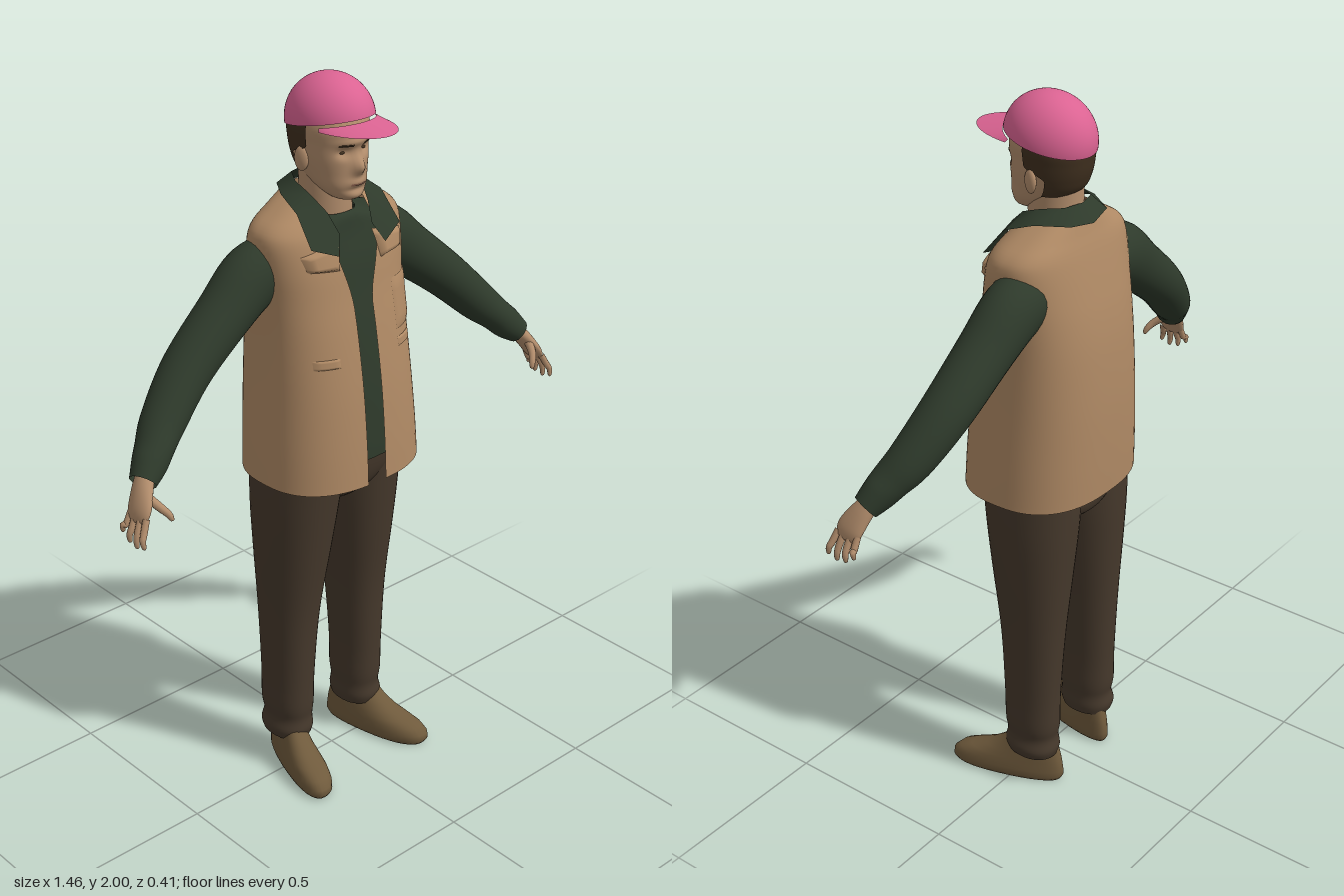
import * as THREE from 'three';

const mat = (name, color, side = THREE.FrontSide) => {
  const m = new THREE.MeshStandardMaterial({ color, side });
  m.name = name;
  return m;
};
const TAU = Math.PI * 2;
const gauss = (v, c, s) => Math.exp(-(((v - c) / s) ** 2));
const signedPow = (v, p) => Math.sign(v) * Math.abs(v) ** p;

// Smoothly resample a short list of number rows
function resample(rows, n) {
  const out = [], last = rows.length - 1;
  for (let k = 0; k <= n; k++) {
    const t = (k / n) * last, i = Math.min(Math.floor(t), last - 1), f = t - i;
    const [a, b, c, d] = [i - 1, i, i + 1, i + 2].map(j => rows[Math.min(Math.max(j, 0), last)]);
    out.push(b.map((_, q) => b[q] + 0.5 * f * (c[q] - a[q]
      + f * (2 * a[q] - 5 * b[q] + 4 * c[q] - d[q] + f * (3 * (b[q] - c[q]) + d[q] - a[q])))));
  }
  return out;
}

// Join rings of points into one surface
function skinRings(rings, closed = true) {
  const pos = [], idx = [], n = rings[0].length;
  rings.forEach(r => r.forEach(p => pos.push(...p)));
  for (let i = 0; i < rings.length - 1; i++) {
    for (let j = 0; j < (closed ? n : n - 1); j++) {
      const k = (j + 1) % n, a = i * n + j, b = i * n + k;
      idx.push(a, b, b + n, a, b + n, a + n);
    }
  }
  const g = new THREE.BufferGeometry();
  g.setAttribute('position', new THREE.Float32BufferAttribute(pos, 3));
  g.setIndex(idx);
  g.computeVertexNormals();
  return g;
}

// Level cross-sections: rows are [y, centre x, half width, front z, back z]
function stack(rows, { p = 1, seg = 36, arc = null, bend = v => v } = {}) {
  return skinRings(rows.map(([y, cx, w, zf, zb]) => {
    const [a, b] = arc ? arc(y, w) : [0, TAU], count = arc ? seg + 1 : seg;
    return Array.from({ length: count }, (_, j) => {
      const t = a + (b - a) * j / seg;
      return bend([cx + w * signedPow(Math.sin(t), p), y,
        (zf + zb) / 2 + (zf - zb) / 2 * signedPow(Math.cos(t), p)]);
    });
  }), !arc);
}

// Front depth of a stack at (x, y)
function frontZ(rows, x, y, p) {
  let i = rows.findIndex(r => r[0] >= y);
  i = Math.max(i, 1);
  const f = (y - rows[i - 1][0]) / (rows[i][0] - rows[i - 1][0]);
  const [, , w, zf, zb] = rows[i].map((v, q) => rows[i - 1][q] * (1 - f) + v * f);
  const s = Math.min(Math.abs(x) / w, 1) ** (1 / p);
  return (zf + zb) / 2 + (zf - zb) / 2 * (1 - s * s) ** (p / 2);
}

// Tube along a path: stations are [x, y, z, width radius, depth radius]
function limb(stations, { n = 20, seg = 20, cap = false } = {}) {
  const st = resample(stations, n);
  const at = i => new THREE.Vector3(...st[Math.min(Math.max(i, 0), n)].slice(0, 3));
  const rings = st.map((s, i) => {
    const d = at(i + 1).sub(at(i - 1)).normalize();
    const nz = new THREE.Vector3(0, 0, 1).addScaledVector(d, -d.z).normalize();
    const b = d.clone().cross(nz), round = cap ? Math.sqrt(Math.max(0, 1 - (i / n) ** 8)) : 1;
    return Array.from({ length: seg }, (_, j) => {
      const t = TAU * j / seg;
      return at(i).addScaledVector(nz, s[4] * round * Math.cos(t))
        .addScaledVector(b, s[3] * round * Math.sin(t)).toArray();
    });
  });
  return skinRings(rings);
}

// Small raised cloth patch between four corners (x, y), laid on a surface
function patch(c, depth, lift, n = 8) {
  const rings = [];
  for (let i = 0; i <= n; i++) {
    rings.push(Array.from({ length: n + 1 }, (_, j) => {
      const u = j / n, v = i / n;
      const [x, y] = [0, 1].map(q => (c[0][q] * (1 - u) + c[1][q] * u) * (1 - v) + (c[3][q] * (1 - u) + c[2][q] * u) * v);
      const edge = i === 0 || j === 0 || i === n || j === n;
      return [x, y, depth(x, y) + (edge ? 0.002 : lift)];
    }));
  }
  return skinRings(rings, false);
}

export function createModel() {
  const root = new THREE.Group();
  const D = THREE.DoubleSide;
  const pink = mat('cap pink', 0xdb6392, D), tan = mat('vest tan', 0xb08a65, D);
  const green = mat('shirt green', 0x2e3a2b, D), brown = mat('trouser brown', 0x46392c);
  const shoeMat = mat('shoe brown', 0x6f5a3c), skin = mat('skin', 0xb28d6c);
  const hairMat = mat('hair brown', 0x40301f, D), lip = mat('lip', 0x8f6450);
  const add = (name, geo, m, parent = root) => {
    const mesh = new THREE.Mesh(geo, m);
    mesh.name = name;
    parent.add(mesh);
    return mesh;
  };

  // Vest with an open front that widens into the neckline
  const P = 0.8;
  const vestKeys = [[.94, 0, .238, .188, -.2], [1.05, 0, .232, .182, -.203], [1.2, 0, .222, .168, -.203],
    [1.35, 0, .215, .145, -.195], [1.45, 0, .215, .125, -.182], [1.53, 0, .22, .11, -.165],
    [1.6, 0, .222, .09, -.148], [1.635, 0, .205, .072, -.138], [1.665, 0, .16, .05, -.128], [1.7, 0, .1, .02, -.118]];
  const vestRows = resample(vestKeys, 36);
  const vestArc = (y, w) => {
    const open = THREE.MathUtils.smoothstep(y, 1.42, 1.62) * 0.05;
    const angle = x => Math.asin(Math.min(x / w, 1) ** (1 / P));
    return [angle(.023 + open), TAU - angle(.038 + open * 0.75)];
  };
  add('vest', stack(vestRows, { p: P, seg: 64, arc: vestArc }), tan);
  const vestZ = (x, y) => frontZ(vestRows, x, y, P);

  // Shirt body under the vest
  const shirtKeys = vestKeys.slice(1, 7).map(([y, x, w, f, b]) => [y, x, w - .016, f - .02, b + .016]);
  shirtKeys.unshift([1.0, 0, .21, .164, -.18]);
  shirtKeys.push([1.64, 0, .095, .062, -.11], [1.652, 0, .066, .05, -.1]);
  add('shirt', stack(resample(shirtKeys, 28), { p: P }), green);

  // Shirt collar, from the nape round to both points
  const upper = [[0, 1.735, -.105], [.055, 1.735, -.09], [.085, 1.73, -.04], [.085, 1.71, .015], [.068, 1.67, .06], [.055, 1.62, .09]];
  const lower = [[0, 1.69, -.14], [.075, 1.7, -.125], [.125, 1.702, -.05], [.142, 1.675, .03], [.15, 1.6, .092], [.078, 1.572, .116]];
  const bothSides = pts => [...pts.slice(1).reverse().map(([x, y, z]) => [-x, y, z]), ...pts];
  add('shirtCollar', skinRings([bothSides(upper), bothSides(lower)], false), green);

  // Lapels and pockets of the vest
  for (const s of [1, -1]) {
    const side = s > 0 ? 'left' : 'right';
    const corners = list => list.map(([x, y]) => [x * s, y]);
    add(side + 'Lapel', patch(corners([[.07, 1.53], [.155, 1.538], [.168, 1.578], [.055, 1.605]]), vestZ, .015), tan);
    add(side + 'PocketWelt', patch(corners([[.1, 1.285], [.165, 1.285], [.165, 1.31], [.1, 1.31]]), vestZ, .006), tan);
  }
  add('chestPocket', patch([[.1, 1.33], [.185, 1.33], [.185, 1.465], [.1, 1.465]], vestZ, .007), tan);

  // Trousers
  add('hips', stack(resample([[.83, 0, .03, .03, -.09], [.87, 0, .12, .09, -.15],
    [.94, 0, .2, .125, -.165], [1.06, 0, .205, .145, -.17]], 12), { p: 0.85 }), brown);
  const legRows = resample([[.095, .13, .058, .028, -.118], [.12, .131, .063, .036, -.124], [.155, .128, .058, .032, -.118],
    [.2, .129, .063, .037, -.124], [.3, .128, .064, .04, -.125], [.5, .123, .075, .052, -.135],
    [.7, .115, .094, .08, -.15], [.85, .108, .107, .1, -.16], [1.02, .1, .112, .12, -.165]], 36);
  // Shoes: toes turned out and a little broader
  const shoeRows = [[0, 0, .001, .03, .02], [0, 0, .045, .182, -.123], [.012, 0, .05, .19, -.13], [.03, 0, .05, .188, -.13],
    [.048, 0, .048, .17, -.128], [.062, 0, .046, .135, -.126], [.08, 0, .043, .088, -.122], [.105, 0, .04, .05, -.116],
    [.125, 0, .037, .03, -.11]];

  for (const s of [1, -1]) {
    const side = s > 0 ? 'left' : 'right';
    add(side + 'TrouserLeg', stack(legRows.map(([y, x, ...r]) => [y, x * s, ...r]), { p: 0.9 }), brown);
    add(side + 'Shoe', stack(shoeRows, { p: 0.85,
      bend: ([x, y, z]) => [s * (.141 + .26 * z) + x * (1 + z * 1.1), y, z] }), shoeMat);

    // Sleeve
    const flip = list => list.map(([x, ...r]) => [x * s, ...r]);
    add(side + 'Sleeve', limb(flip([[.13, 1.53, -.05, .075, .075], [.22, 1.508, -.053, .085, .076], [.32, 1.435, -.047, .073, .072],
      [.45, 1.33, -.035, .064, .068], [.55, 1.233, -.006, .056, .06], [.6, 1.185, .02, .047, .052],
      [.63, 1.155, .036, .045, .045], [.663, 1.125, .052, .034, .036]]), { n: 36, seg: 28 }), green);

    // Hand with four fingers and a thumb
    const hand = new THREE.Group();
    hand.name = side + 'Hand';
    root.add(hand);
    add('palm', limb(flip([[.648, 1.14, .043, .022, .026], [.672, 1.108, .06, .02, .033],
      [.695, 1.07, .077, .016, .04], [.708, 1.04, .083, .011, .036]]), { cap: true }), skin, hand);
    [-.03, -.01, .011, .031].forEach((o, i) => {
      const tipY = [1.005, .987, .982, .99][i];
      add('finger', limb(flip([[.7, 1.06, .079 + o, .009, .009], [.716, 1.028, .083 + o * 1.15, .009, .009],
        [.724, tipY + .022, .084 + o * 1.3, .008, .008], [.722, tipY, .085 + o * 1.4, .007, .007]]),
        { n: 12, seg: 10, cap: true }), skin, hand);
    });
    add('thumb', limb(flip([[.674, 1.1, .082, .012, .013], [.66, 1.08, .112, .011, .011],
      [.645, 1.06, .128, .009, .009], [.638, 1.042, .134, .007, .007]]), { n: 12, seg: 10, cap: true }), skin, hand);
  }

  // Neck and head, with the face shaped by soft bumps
  add('neck', stack([[1.6, 0, .068, .045, -.1], [1.7, 0, .066, .05, -.095], [1.78, 0, .066, .04, -.095]]), skin);
  const headRows = resample([[1.693, 0, .012, .075, .04], [1.702, 0, .04, .09, .01], [1.73, 0, .063, .098, -.045],
    [1.765, 0, .076, .097, -.09], [1.8, 0, .084, .097, -.107], [1.84, 0, .088, .096, -.115],
    [1.88, 0, .09, .098, -.115], [1.93, 0, .075, .075, -.09]], 56);
  const faceBump = (x, y) => .024 * gauss(x, 0, .012 + .25 * Math.max(0, 1.82 - y) * .4) * gauss(y, 1.785, .022)
    + .007 * gauss(y, 1.847, .01) * gauss(x, 0, .055)
    - .013 * (gauss(x, .033, .018) + gauss(x, -.033, .018)) * gauss(y, 1.822, .013)
    + .006 * gauss(y, 1.744, .009) * gauss(x, 0, .025)
    - .005 * gauss(y, 1.725, .007) * gauss(x, 0, .03) + .005 * gauss(y, 1.707, .01) * gauss(x, 0, .025);
  add('head', stack(headRows, { p: 0.92, seg: 72,
    bend: ([x, y, z]) => [x, y, z > .02 ? z + faceBump(x, y) : z] }), skin);
  const faceZ = (x, y) => frontZ(headRows, x, y, .92) + faceBump(x, y);

  const oval = (name, x, y, z, size, m) => {
    const mesh = add(name, new THREE.SphereGeometry(1, 20, 14), m);
    mesh.position.set(x, y, z);
    mesh.scale.set(...size);
    return mesh;
  };
  for (const s of [1, -1]) {
    oval('eye', s * .033, 1.821, faceZ(.033, 1.821) - .001, [.01, .004, .004], hairMat);
    const h = 0.003;
    add('eyebrow', patch([[s * .016, 1.841 - h], [s * .052, 1.842 - h], [s * .052, 1.842 + h], [s * .016, 1.842 + h]], faceZ, .003), hairMat);
    oval('ear', s * .089, 1.797, -.012, [.011, .032, .02], skin).rotation.y = s * -0.3;
  }
  add('mouth', patch([[-.025, 1.737], [.025, 1.737], [.022, 1.743], [-.022, 1.743]], faceZ, .002), lip);

  // Hair round the back, with short sideburns
  const hairRows = headRows.filter(r => r[0] > 1.752 && r[0] < 1.91)
    .map(([y, x, w, f, b]) => [y, x, w + .005, f, b - .006]);
  const hairArc = y => {
    const a = 1.95 - .55 * THREE.MathUtils.smoothstep(y, 1.8, 1.835);
    return [a, TAU - a];
  };
  add('hair', stack(hairRows, { p: 0.92, arc: hairArc }), hairMat);

  // Cap: tilted dome and curved brim
  const dome = add('capDome', new THREE.SphereGeometry(1, 48, 20, 0, TAU, 0, Math.PI / 2), pink);
  dome.scale.set(.105, .115, .125);
  dome.position.set(0, 1.885, -.006);
  dome.rotation.x = -0.2;
  const brim = [];
  for (let i = 0; i <= 6; i++) {
    brim.push(Array.from({ length: 33 }, (_, j) => {
      const u = j / 16 - 1, v = i / 6, a = u * 1.1, b = u * Math.PI / 2;
      const zi = .118 * Math.cos(a), zo = .06 + .148 * Math.cos(b);
      const yi = 1.88 + .19 * zi, yo = 1.888 - .006 * u * u;
      return [.103 * Math.sin(a) * (1 - v) + .096 * Math.sin(b) * v, yi * (1 - v) + yo * v, zi * (1 - v) + zo * v];
    }));
  }
  add('capBrim', skinRings(brim.reverse(), false), pink);

  return root;
}
